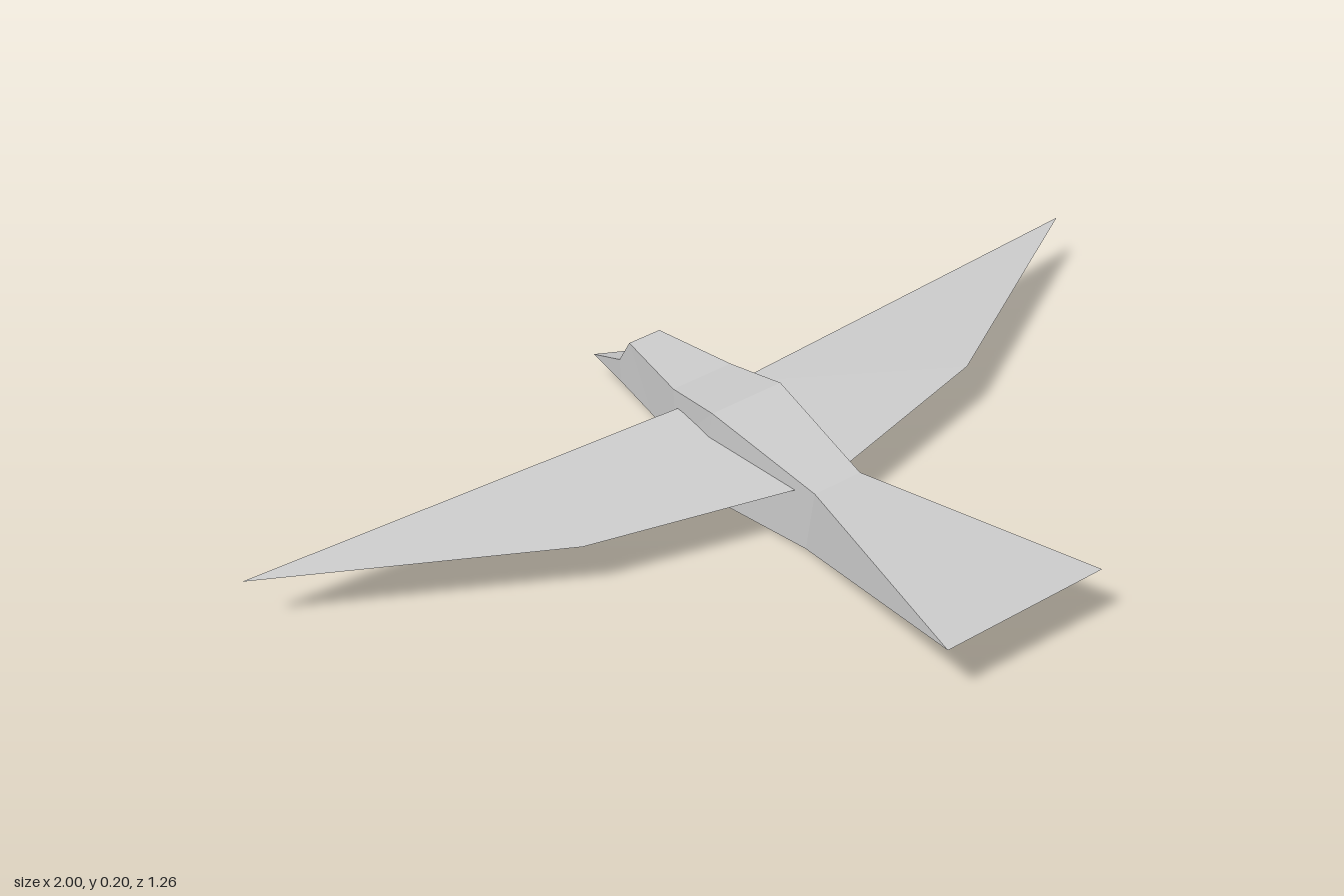
import * as THREE from 'three';

const material = new THREE.MeshStandardMaterial({ color: 0xcccccc, flatShading: true });

// Mesh from flat polygons, each fanned out from its first corner
function facetMesh(name, polygons) {
  const points = [];
  for (const p of polygons) {
    for (let i = 1; i < p.length - 1; i++) points.push(...p[0], ...p[i], ...p[i + 1]);
  }
  const geometry = new THREE.BufferGeometry();
  geometry.setAttribute('position', new THREE.Float32BufferAttribute(points, 3));
  geometry.computeVertexNormals();
  const mesh = new THREE.Mesh(geometry, material);
  mesh.name = name;
  return mesh;
}

// Four corners of a slanted cross-section: half width, y and z of its top and bottom
const section = ([wt, yt, zt, wb, yb, zb]) =>
  [[wt, yt, zt], [-wt, yt, zt], [-wb, yb, zb], [wb, yb, zb]];

// Skin between consecutive cross-sections, running from tail to beak
function loft(name, rows) {
  const rings = rows.map(section);
  const polygons = [];
  for (let s = 0; s < rings.length - 1; s++) {
    const a = rings[s], b = rings[s + 1];
    for (let i = 0; i < 4; i++) {
      const j = (i + 1) % 4;
      polygons.push([a[i], b[i], b[j], a[j]]);
    }
  }
  return facetMesh(name, polygons);
}

// Wedge-shaped wing: blunt leading edge, sharp trailing edge
function wing(name, side) {
  const at = (x, y, z) => [side * x, y, z];
  const leadTop = at(0.073, 0.152, -0.265);
  const leadBottom = at(0.073, 0.118, -0.268);
  const trail = at(0.055, 0.134, 0.07);
  const elbow = at(0.47, 0.134, -0.04);
  const tip = at(1, 0.134, -0.345);
  const polygons = [
    [leadTop, trail, elbow, tip],
    [leadBottom, tip, elbow, trail],
    [leadTop, tip, leadBottom],
    [leadTop, leadBottom, trail],
  ];
  // Mirrored wing: turn the corners around, keeping the fan's first corner
  if (side < 0) polygons.forEach((p, i) => { polygons[i] = [p[0], ...p.slice(1).reverse()]; });
  return facetMesh(name, polygons);
}

export function createModel() {
  const bird = new THREE.Group();
  bird.name = 'bird';

  // Cross-sections shared by neighbouring parts
  const tailEnd = [0.185, 0.152, 0.63, 0.185, 0.152, 0.63];
  const rump = [0.055, 0.15, 0.12, 0.055, 0.012, 0.095];
  const breast = [0.083, 0.205, -0.145, 0.083, 0.003, -0.195];
  const neck = [0.07, 0.187, -0.28, 0.07, 0.075, -0.275];
  const brow = [0.037, 0.19, -0.46, 0.052, 0.075, -0.375];
  const beakBase = [0.03, 0.128, -0.503, 0.03, 0.078, -0.5];
  const beakTip = [0, 0.066, -0.63, 0, 0.066, -0.63];

  bird.add(
    loft('tail', [tailEnd, rump]),
    loft('body', [rump, breast, neck]),
    loft('head', [neck, brow, beakBase]),
    loft('beak', [beakBase, beakTip]),
    wing('leftWing', 1),
    wing('rightWing', -1),
  );
  return bird;
}
